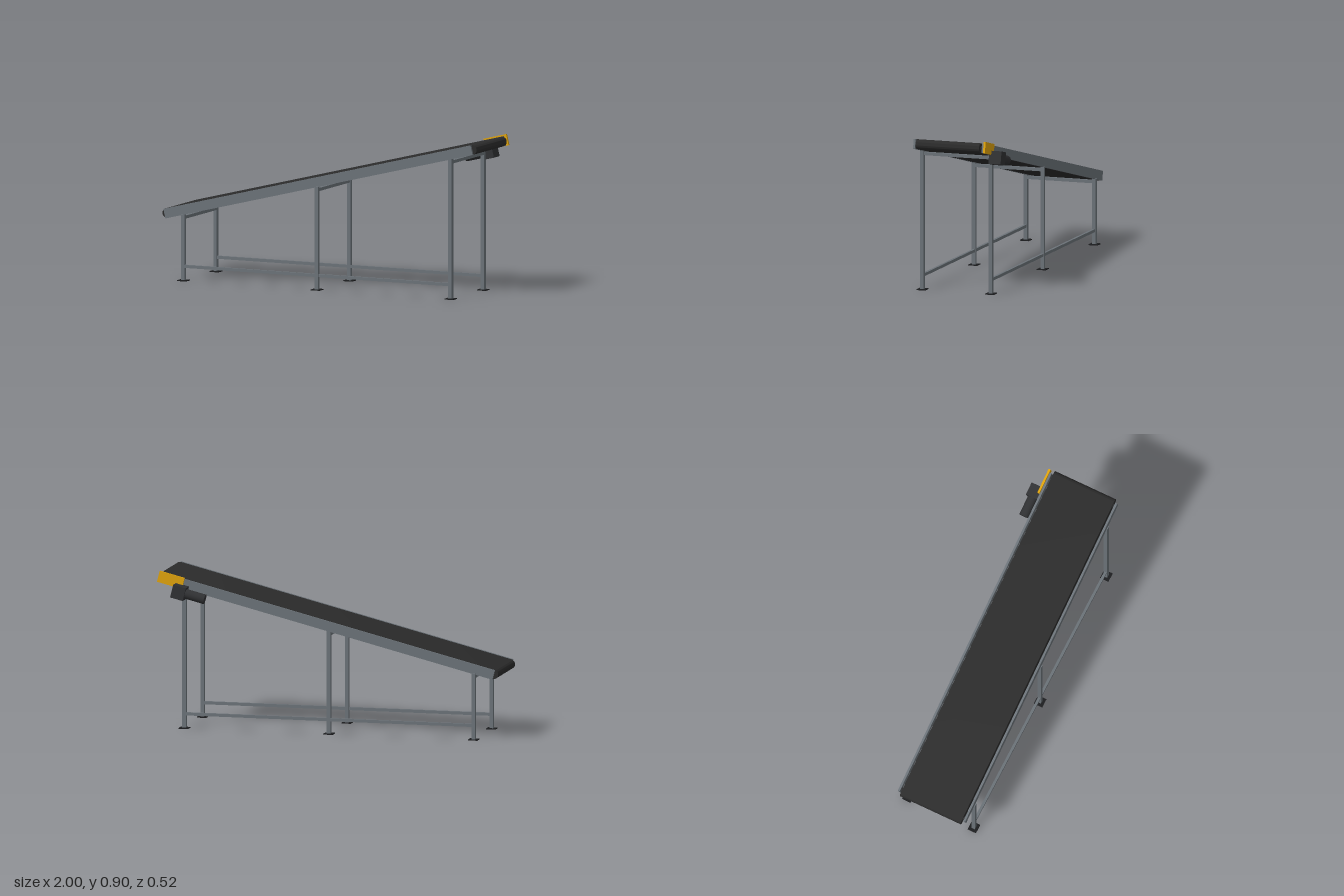
import * as THREE from 'three';
import { toCreasedNormals } from 'three/addons/utils/BufferGeometryUtils.js';

const SLOPE = THREE.MathUtils.degToRad(14);
const DECK_Y = 0.6225; // height of the deck axis at the middle
const MID_Z = 0.028; // centre line of the conveyor
const HALF_W = 0.208; // centre line to rail and leg

function material(name, color) {
  const m = new THREE.MeshStandardMaterial({ color });
  m.name = name;
  return m;
}

export function createModel() {
  const steel = material('steel', 0x6b7278);
  const rubber = material('beltRubber', 0x2b2b2b);
  const motorGrey = material('motorGrey', 0x303133);
  const footBlack = material('footBlack', 0x1d1e20);
  const yellow = material('guardYellow', 0xdea20c);

  const model = new THREE.Group();
  model.name = 'inclinedConveyor';

  const add = (parent, name, geometry, mat, x, y, z) => {
    const mesh = new THREE.Mesh(geometry, mat);
    mesh.name = name;
    mesh.position.set(x, y, z);
    parent.add(mesh);
    return mesh;
  };
  const box = (parent, name, mat, w, h, d, x, y, z) =>
    add(parent, name, new THREE.BoxGeometry(w, h, d), mat, x, y, z);

  // Tilted deck: belt loop, rails and drum shafts
  const deck = new THREE.Group();
  deck.name = 'deck';
  deck.position.set(-0.002, DECK_Y, MID_Z);
  deck.rotation.z = SLOPE;
  model.add(deck);

  const r = 0.028, beltW = 0.386;
  const loop = new THREE.Shape();
  loop.absarc(1, 0, r, -Math.PI / 2, Math.PI / 2, false);
  loop.absarc(-1, 0, r, Math.PI / 2, Math.PI * 1.5, false);
  const beltGeo = new THREE.ExtrudeGeometry(loop, { depth: beltW, bevelEnabled: false, curveSegments: 16 });
  beltGeo.translate(0, 0, -beltW / 2);
  add(deck, 'belt', toCreasedNormals(beltGeo, 0.6), rubber, 0, 0, 0);

  for (const side of [1, -1]) {
    box(deck, 'sideRail', steel, 2.012, 0.056, 0.012, 0, 0, side * HALF_W);
  }
  for (const end of [1, -1]) {
    const shaft = add(deck, 'drumShaft', new THREE.CylinderGeometry(0.013, 0.013, 0.41, 20), motorGrey, end * 0.99, 0, 0);
    shaft.rotation.x = Math.PI / 2;
  }

  // Supports: three pairs of legs with feet and a cross beam each
  const frame = new THREE.Group();
  frame.name = 'supportFrame';
  frame.position.z = MID_Z;
  model.add(frame);

  for (const x of [-0.86, -0.01, 0.84]) {
    const railBottom = DECK_Y + x * Math.tan(SLOPE) - 0.029;
    const top = railBottom + 0.004;
    for (const side of [1, -1]) {
      box(frame, 'leg', steel, 0.022, top - 0.004, 0.022, x, (top + 0.004) / 2, side * HALF_W);
      box(frame, 'foot', footBlack, 0.055, 0.005, 0.053, x, 0.0025, side * HALF_W);
    }
    box(frame, 'crossBeam', steel, 0.018, 0.018, HALF_W * 2 - 0.02, x, railBottom - 0.014, 0);
  }
  for (const side of [1, -1]) {
    box(frame, 'lowerBar', steel, 1.7, 0.017, 0.015, -0.01, 0.084, side * HALF_W);
  }

  // Drive: gearbox with motor lying along the slope
  const drive = new THREE.Group();
  drive.name = 'drive';
  drive.position.set(0.858, 0.792, -0.224);
  drive.rotation.z = SLOPE;
  model.add(drive);
  box(drive, 'gearbox', motorGrey, 0.076, 0.076, 0.074, 0, 0, 0);
  const motor = add(drive, 'motor', new THREE.CylinderGeometry(0.028, 0.028, 0.118, 24), motorGrey, -0.0945, 0, 0);
  motor.rotation.z = Math.PI / 2;

  // Yellow chain guard outside the rail
  const guard = box(model, 'driveGuard', yellow, 0.15, 0.065, 0.012, 0.916, 0.855, -0.194);
  guard.rotation.z = SLOPE;

  return model;
}
